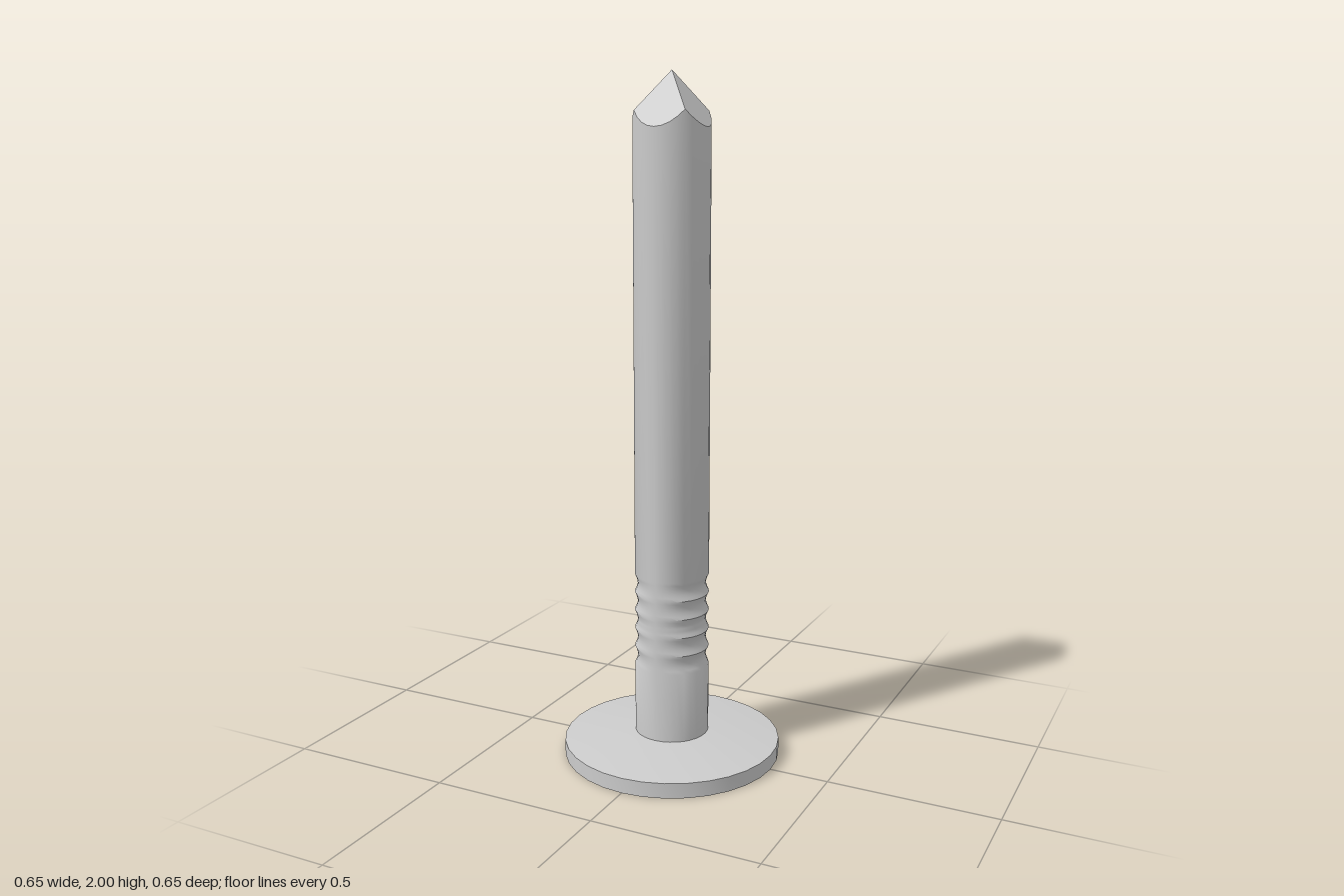
import * as THREE from 'three';
import { toCreasedNormals } from 'three/addons/utils/BufferGeometryUtils.js';

const SIDES = 32, R = 0.11, TIP_Y = 2, SLOPE = 1.4;
const GROOVE_START = 0.28, GROOVE_END = 0.56, GROOVES = 5, GROOVE_DEPTH = 0.01;

// Height of the four-sided point above a spot on the shaft
const pointHeight = (x, z) => TIP_Y - SLOPE * Math.max(Math.abs(x), Math.abs(z));

// Turned part whose vertices may be moved by a rule, with sharp edges kept
function turned(name, profile, crease, rule) {
  const geometry = new THREE.LatheGeometry(profile.map(([r, y]) => new THREE.Vector2(r, y)), SIDES);
  const p = geometry.attributes.position;
  if (rule) {
    const v = new THREE.Vector3();
    for (let i = 0; i < p.count; i++) {
      rule(v.fromBufferAttribute(p, i));
      p.setXYZ(i, v.x, v.y, v.z);
    }
  }
  const mesh = new THREE.Mesh(
    toCreasedNormals(geometry, crease),
    new THREE.MeshStandardMaterial({ color: 0xcccccc })
  );
  mesh.name = name;
  return mesh;
}

export function createModel() {
  const group = new THREE.Group();
  group.name = 'nail';

  // Flat disc head with a shallow cone rising to the shaft
  group.add(turned('head', [[0, 0], [0.323, 0], [0.323, 0.045], [R, 0.07], [R - 0.02, 0.07]], 0.4));

  // Shaft, with shallow grip grooves pressed into the left and right sides
  const profile = [[R, 0.06]];
  const steps = GROOVES * 6;
  for (let i = 0; i <= steps; i++) {
    profile.push([R, GROOVE_START + (GROOVE_END - GROOVE_START) * i / steps]);
  }
  profile.push([R, TIP_Y]);
  group.add(turned('shaft', profile, 0.6, (v) => {
    if (v.y === TIP_Y) {
      v.y = pointHeight(v.x, v.z);
    } else if (v.y >= GROOVE_START && v.y <= GROOVE_END) {
      const t = (v.y - GROOVE_START) / (GROOVE_END - GROOVE_START);
      const wave = Math.abs(Math.sin(t * GROOVES * Math.PI));
      const k = 1 - GROOVE_DEPTH / R * wave * Math.abs(v.x) / R;
      v.x *= k;
      v.z *= k;
    }
  }));

  // Four-facet point meeting the round shaft in scalloped arcs
  group.add(turned('point', [[R, 0], [0, TIP_Y]], 0.2, (v) => {
    v.y = pointHeight(v.x, v.z);
  }));

  return group;
}
